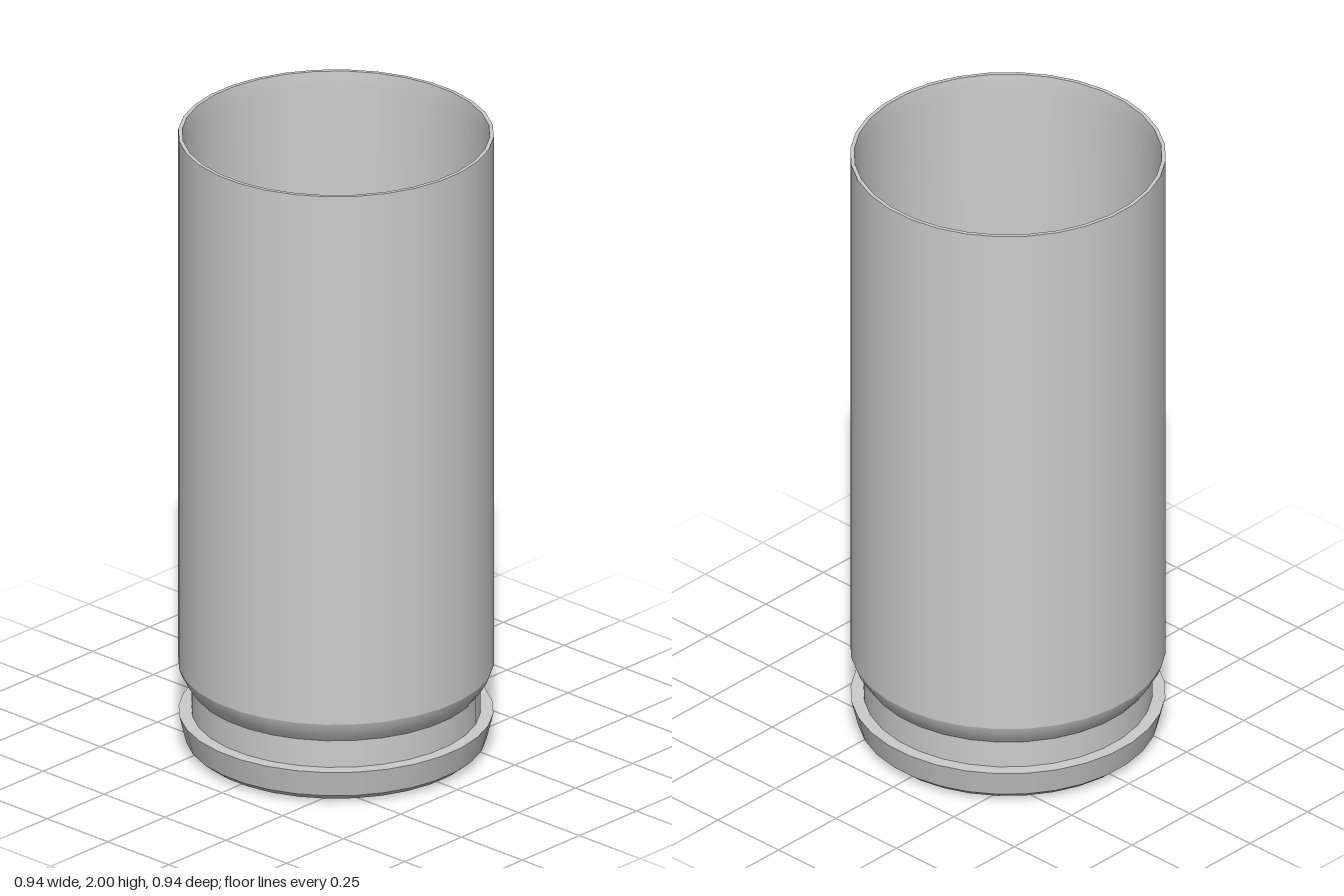
import * as THREE from 'three';

const SIDES = 32;

export function createModel() {
  const model = new THREE.Group();
  model.name = 'emptyCasing';
  const metal = new THREE.MeshStandardMaterial({ color: 0xcccccc });
  metal.name = 'brushedMetal';

  // Each profile is smooth along its length; creases fall between profiles.
  // Profiles run bottom centre -> outside -> rim -> inside -> floor centre.
  function turn(name, ...profiles) {
    const part = new THREE.Group();
    part.name = name;
    for (const profile of profiles) {
      const points = profile.map(([r, y]) => new THREE.Vector2(r, y));
      const geometry = new THREE.LatheGeometry(points, SIDES, Math.PI / SIDES);
      const mesh = new THREE.Mesh(geometry, metal);
      mesh.name = name + 'Surface';
      part.add(mesh);
    }
    model.add(part);
  }

  // Round cap set in the base, standing slightly proud
  turn('primerCap',
    [[0, 0], [0.205, 0]],
    [[0.205, 0], [0.214, 0.003], [0.218, 0.012]],
    [[0.218, 0.02], [0.228, 0.02]],
    [[0.228, 0.02], [0.228, 0.009]]);

  // Flared foot with a bevelled lower edge
  turn('baseRim',
    [[0.228, 0.009], [0.43, 0.009]],
    [[0.43, 0.009], [0.452, 0.028]],
    [[0.452, 0.028], [0.473, 0.113]],
    [[0.473, 0.113], [0.434, 0.113]]);

  // Recessed groove and its slope up to the body
  turn('extractorGroove',
    [[0.434, 0.113], [0.434, 0.2]],
    [[0.434, 0.2], [0.45, 0.222], [0.466, 0.248], [0.474, 0.27]]);

  // Tall outer wall and the lip
  turn('outerWall', [[0.474, 0.27], [0.474, 2]]);
  turn('mouthLip', [[0.474, 2], [0.462, 2]]);

  // Inner wall, tapering towards the floor
  turn('innerWall', [[0.462, 2], [0.458, 1.95], [0.42, 0.25]]);

  // Floor with a raised ring and a small central dome
  turn('innerFloor',
    [[0.42, 0.25], [0.312, 0.25]],
    [[0.312, 0.25], [0.3, 0.256], [0.286, 0.268], [0.274, 0.262], [0.262, 0.245]],
    [[0.262, 0.245], [0.14, 0.245]],
    [[0.14, 0.245], [0.115, 0.25], [0.087, 0.26]]);
  turn('centreDome',
    [[0.087, 0.26], [0.075, 0.266], [0.045, 0.274], [0, 0.278]]);

  return model;
}
